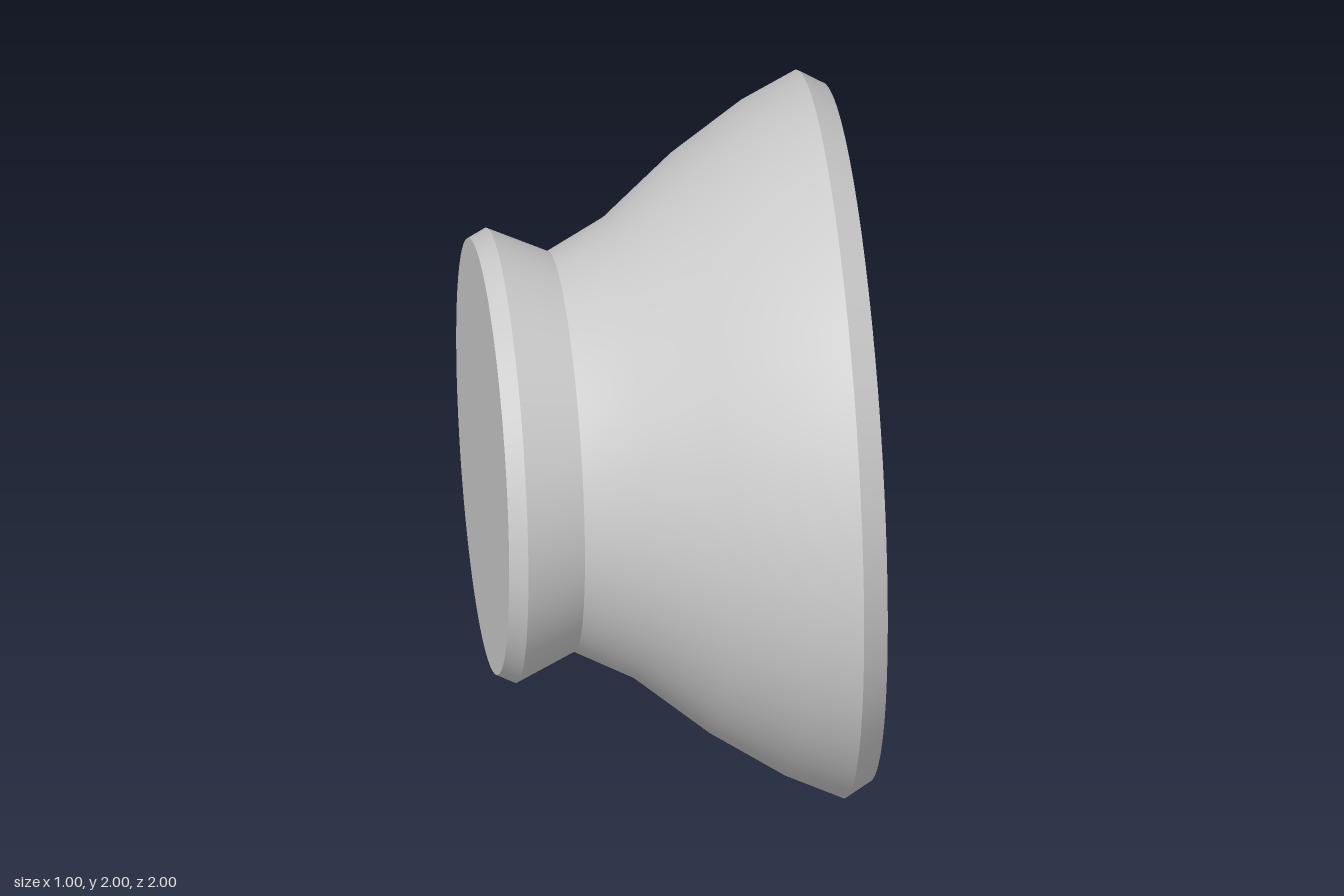
import * as THREE from 'three';

const SEGMENTS = 64;

export function createModel() {
  const model = new THREE.Group();
  const material = new THREE.MeshStandardMaterial({ color: 0xcccccc });

  // Each section is a profile of [radius, position along the axis];
  // separate sections keep the edges between them sharp.
  const addSection = (name, profile) => {
    const points = profile.map(([r, a]) => new THREE.Vector2(r, a));
    const geometry = new THREE.LatheGeometry(points, SEGMENTS);
    geometry.rotateZ(-Math.PI / 2); // axis now runs along +x
    geometry.translate(0, 1, 0);
    const mesh = new THREE.Mesh(geometry, material);
    mesh.name = name;
    model.add(mesh);
  };

  // Foot: flat base, bevelled edge and taper to the waist
  addSection('base', [[0, -0.5], [0.6, -0.5]]);
  addSection('baseBevel', [[0.6, -0.5], [0.625, -0.45]]);
  addSection('neck', [[0.625, -0.45], [0.55, -0.285]]);

  // Flared outer wall
  addSection('flare', [
    [0.55, -0.285], [0.635, -0.12], [0.8, 0.08], [0.93, 0.28], [1, 0.43],
  ]);

  // Rim: bevel and flat ring
  addSection('rimBevel', [[1, 0.43], [0.96, 0.5]]);
  addSection('rim', [[0.96, 0.5], [0.783, 0.5]]);

  // Hollow: sloping wall that rounds steadily into the bottom
  addSection('bowl', [
    [0.783, 0.5], [0.64, 0.303], [0.5, 0.11], [0.38, -0.01],
    [0.25, -0.098], [0.1, -0.156], [0, -0.17],
  ]);

  return model;
}
